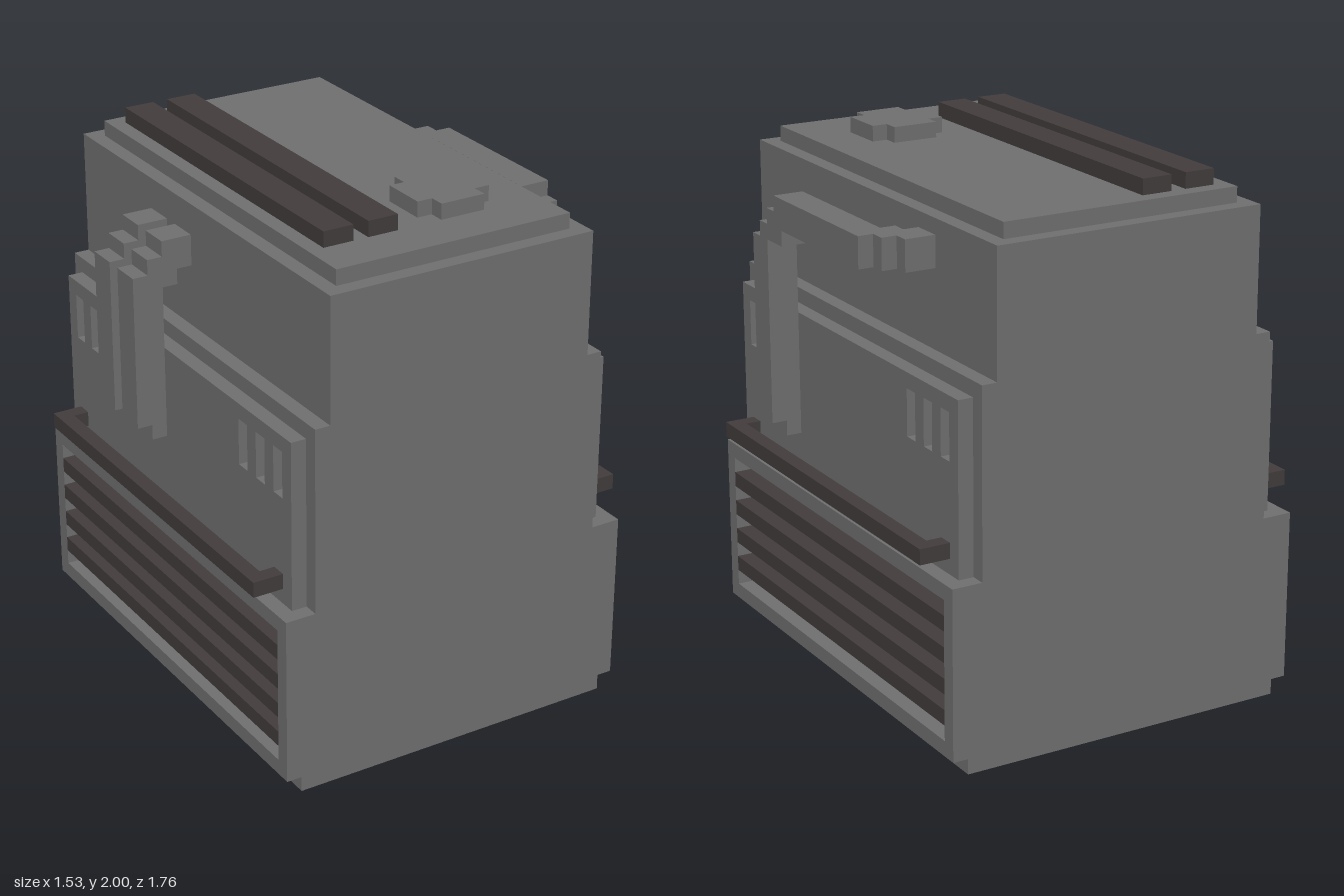
import * as THREE from 'three';

const U = 1 / 17; // one grid cell; all sizes below are in cells

export function createModel() {
  const model = new THREE.Group();
  model.name = 'machineBlock';
  const grey = new THREE.MeshStandardMaterial({ name: 'casing grey', color: 0x707070 });
  const dark = new THREE.MeshStandardMaterial({ name: 'dark trim', color: 0x433c3c });

  // Box from its extents on each axis
  function box(name, x, y, z, material = grey, parent = model) {
    const geo = new THREE.BoxGeometry(x[1] - x[0], y[1] - y[0], z[1] - z[0]);
    geo.translate((x[0] + x[1]) / 2, (y[0] + y[1]) / 2, (z[0] + z[1]) / 2);
    const mesh = new THREE.Mesh(geo, material);
    mesh.name = name;
    parent.add(mesh);
  }

  function rect(Type, z0, z1, y0, y1) {
    const s = new Type();
    s.moveTo(z0, y0);
    s.lineTo(z1, y0);
    s.lineTo(z1, y1);
    s.lineTo(z0, y1);
    s.closePath();
    return s;
  }

  // Side plate with rectangular holes, extruded along x
  function sidePlate(name, x0, x1, outer, holes) {
    const shape = rect(THREE.Shape, ...outer);
    shape.holes = holes.map(h => rect(THREE.Path, ...h));
    const geo = new THREE.ExtrudeGeometry(shape, { depth: x1 - x0, bevelEnabled: false });
    geo.rotateY(Math.PI / 2).translate(x0, 0, 0);
    const mesh = new THREE.Mesh(geo, grey);
    mesh.name = name;
    model.add(mesh);
  }

  function group(name) {
    const g = new THREE.Group();
    g.name = name;
    model.add(g);
    return g;
  }

  // Stepped casing
  box('base', [-11, 11], [0, 1], [-15, 15]);
  box('core', [-10, 10], [1, 24], [-15, 15]);
  box('upperCasing', [-9, 9], [24, 32], [-15, 15]);
  box('lid', [-8, 8], [32, 33], [-14, 14]);

  // Both sides: slotted panel, louvre frame with slats, and rail
  const slots = [-13, -11, -9, 8, 10, 12].map(z => [z, z + 1, 19, 22]);
  for (const side of [-1, 1]) {
    const span = (a, b) => (side > 0 ? [a, b] : [-b, -a]);
    const label = side > 0 ? 'left' : 'right';
    sidePlate(label + 'SlottedPanel', ...span(10, 11), [-14, 14, 12, 23], slots);
    sidePlate(label + 'LouvreFrame', ...span(10, 12), [-15, 15, 1, 12], [[-14, 14, 2, 11]]);

    const louvre = group(label + 'Louvre');
    for (const y of [3, 5, 7, 9]) box('slat', span(10, 12), [y, y + 1], [-14, 14], dark, louvre);

    const rail = group(label + 'Rail');
    box('railBar', span(12, 13), [13, 14], [-13, 13], dark, rail);
    for (const z of [-13, 12]) box('railBracket', span(11, 12), [13, 14], [z, z + 1], dark, rail);
  }

  // Long bent pipe on the left side
  const pipe = group('leftPipe');
  box('pipeFoot', [11, 12], [15, 16], [6, 8], grey, pipe);
  box('pipeRiser', [11, 13], [16, 28], [6, 8], grey, pipe);
  box('pipeElbow', [11, 13], [28, 29], [4, 7], grey, pipe);
  box('pipeRunLower', [11, 13], [29, 30], [-5, 6], grey, pipe);
  box('pipeRunUpper', [11, 13], [30, 31], [-5, 5], grey, pipe);
  box('pipeBend', [10, 13], [29, 31], [-6, -5], grey, pipe);
  box('pipeBend', [9, 12], [29, 31], [-7, -6], grey, pipe);
  box('pipeInlet', [9, 11], [29, 31], [-8, -7], grey, pipe);

  // Pair of short pipes on the right side
  for (const z of [-6, -3]) {
    const p = group('rightPipe');
    const depth = [z, z + 2];
    box('pipeFoot', [-12, -11], [17, 18], depth, grey, p);
    box('pipeRiser', [-13, -11], [18, 27], depth, grey, p);
    box('pipeBend', [-13, -10], [27, 28], depth, grey, p);
    box('pipeBend', [-12, -9], [28, 29], depth, grey, p);
    box('pipeInlet', [-11, -9], [29, 30], depth, grey, p);
  }

  // Top bars and filler cap
  for (const x of [-7, -4]) box('topBar', [x, x + 2], [33, 34], [-13, 11], dark);
  const cap = group('fillerCap');
  box('capMiddle', [0, 5], [33, 34], [7, 10], grey, cap);
  box('capBack', [1, 4], [33, 34], [6, 7], grey, cap);
  box('capFront', [1, 4], [33, 34], [10, 11], grey, cap);

  model.scale.setScalar(U);
  return model;
}
